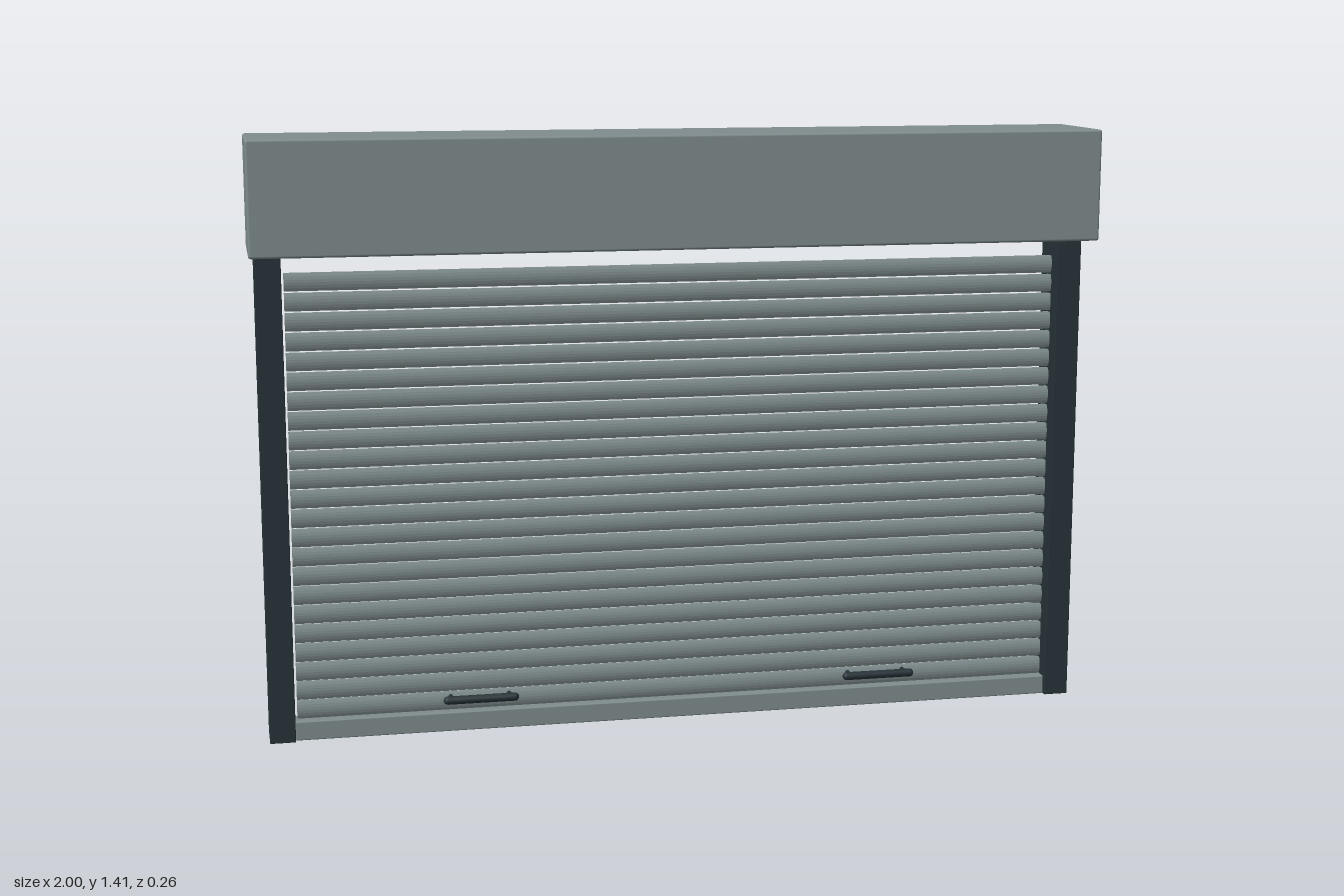
import * as THREE from 'three';
import { RoundedBoxGeometry } from 'three/addons/geometries/RoundedBoxGeometry.js';

export function createModel() {
  const group = new THREE.Group();
  group.name = 'rollerShutter';

  const make = (name, color) => {
    const m = new THREE.MeshStandardMaterial({ color });
    m.name = name;
    return m;
  };
  const grey = make('shutterGrey', 0x7f8c8d);
  const dark = make('railDark', 0x263238);

  const add = (name, geometry, material, x, y, z, parent = group) => {
    const mesh = new THREE.Mesh(geometry, material);
    mesh.name = name;
    mesh.position.set(x, y, z);
    parent.add(mesh);
    return mesh;
  };

  // Housing for the rolled-up curtain
  add('housing', new RoundedBoxGeometry(2, 0.264, 0.264, 2, 0.006), grey, 0, 1.28, 0);

  // Curtain: slats with a slightly bulged profile, drawn in depth and height
  const slatHeight = 0.041, slatWidth = 1.842;
  const profile = new THREE.Shape();
  profile.moveTo(0.012, 0);
  profile.lineTo(0.027, 0);
  profile.quadraticCurveTo(0.037, slatHeight / 2, 0.027, slatHeight);
  profile.lineTo(0.012, slatHeight);
  profile.closePath();
  const slatGeometry = new THREE.ExtrudeGeometry(profile, {
    depth: slatWidth, bevelEnabled: false, curveSegments: 6,
  });
  slatGeometry.translate(0, 0, -slatWidth / 2);
  slatGeometry.rotateY(-Math.PI / 2);

  const curtain = new THREE.Group();
  curtain.name = 'curtain';
  group.add(curtain);
  for (let i = 0; i < 23; i++) {
    add('slat', slatGeometry, grey, 0, 0.05 + i * 0.046, 0, curtain);
  }

  // Thicker bar closing the curtain at the floor
  add('bottomBar', new RoundedBoxGeometry(1.856, 0.046, 0.05, 2, 0.003), grey, 0, 0.023, 0.016);

  // Guide rails and lifting handles, mirrored
  const railGeometry = new RoundedBoxGeometry(0.06, 1.15, 0.106, 1, 0.002);
  const gripGeometry = new THREE.CapsuleGeometry(0.01, 0.16, 4, 12).rotateZ(Math.PI / 2);
  const postGeometry = new THREE.CylinderGeometry(0.006, 0.006, 0.035, 10).rotateX(Math.PI / 2);
  for (const side of [-1, 1]) {
    const label = side > 0 ? 'left' : 'right';
    add(label + 'Rail', railGeometry, dark, side * 0.957, 0.575, 0);

    const handle = new THREE.Group();
    handle.name = label + 'Handle';
    handle.position.set(side * 0.49, 0.082, 0);
    group.add(handle);
    add('grip', gripGeometry, dark, 0, 0, 0.06, handle);
    for (const x of [-0.07, 0.07]) add('handlePost', postGeometry, dark, x, 0, 0.043, handle);
  }

  return group;
}
